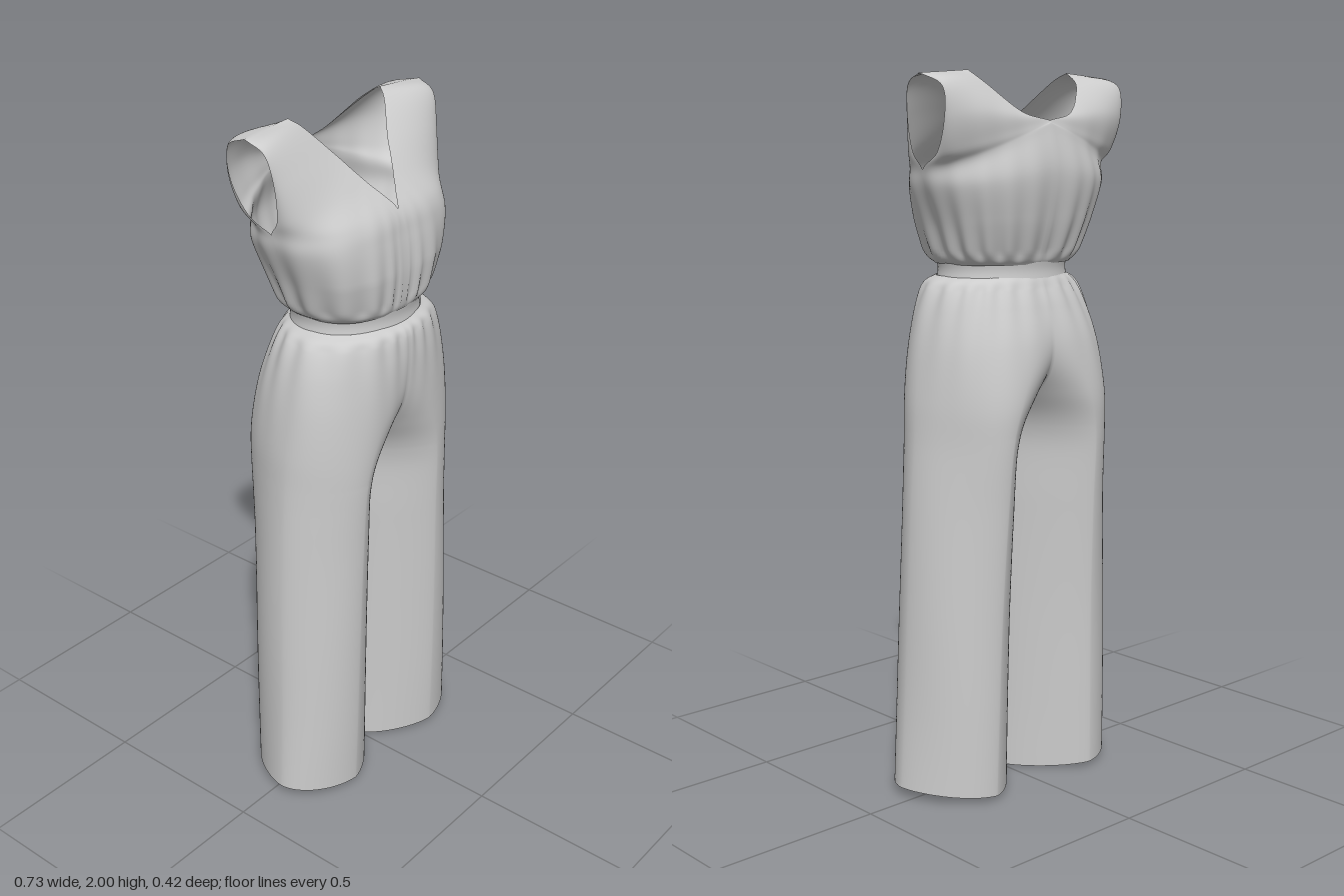
import * as THREE from 'three';
import { mergeGeometries, mergeVertices } from 'three/addons/utils/BufferGeometryUtils.js';

const cloth = new THREE.MeshStandardMaterial({ color: 0xcccccc, side: THREE.DoubleSide });
const WAIST_Y = 1.47, WAIST_Z = 0.02;

// Smooth curve through points, sampled evenly per control point
const spline = pts => new THREE.CatmullRomCurve3(pts.map(p => new THREE.Vector3(...p)), false, 'catmullrom', 0.5);
const spow = (v, p) => Math.sign(v) * Math.abs(v) ** p;

// Gathers fanning out from the elastic waist, plus faint long folds
function gather(p) {
  const ang = Math.atan2(p.x, p.z - WAIST_Z);
  const d = Math.max(0, Math.abs(p.y - WAIST_Y) - 0.02);
  const upper = p.y > WAIST_Y;
  const near = Math.min(1, d / 0.03) * Math.exp(-d / (upper ? 0.13 : 0.08));
  const k = 1 + (upper ? 0.04 : 0.028) * near * Math.sin(20 * ang + 2 * Math.sin(3 * ang))
    + 0.008 * Math.min(1, d / 0.1) * Math.sin(6 * ang + 5 * p.y) * Math.sin(ang) ** 2;
  p.x *= k;
  p.z = WAIST_Z + (p.z - WAIST_Z) * k;
  return p;
}

// Grid surface from a point rule; sx mirrors it, flip turns the faces over.
// The garment hangs a touch to its right above the hem.
function sheet(rows, cols, rule, sx, flip) {
  const pos = [], idx = [];
  for (let i = 0; i <= rows; i++)
    for (let j = 0; j <= cols; j++) {
      const p = rule(i / rows, j / cols);
      pos.push(p.x * sx - 0.01 * Math.min(1, p.y), p.y, p.z);
    }
  for (let i = 0; i < rows; i++)
    for (let j = 0; j < cols; j++) {
      const a = i * (cols + 1) + j, b = a + 1, d = a + cols + 1, c = d + 1;
      if (flip !== (sx < 0)) idx.push(a, c, b, a, d, c);
      else idx.push(a, b, c, a, c, d);
    }
  const g = new THREE.BufferGeometry();
  g.setAttribute('position', new THREE.Float32BufferAttribute(pos, 3));
  g.setIndex(idx);
  return g;
}

// Weld sheets into one smooth mesh
function weld(name, sheets) {
  const g = mergeVertices(mergeGeometries(sheets), 1e-4);
  g.computeVertexNormals();
  const m = new THREE.Mesh(g, cloth);
  m.name = name;
  return m;
}

// Trousers: each leg is an oval cut off at the centre plane until it closes at the crotch
// Columns: outer x, height, inner x / front z, height, back z
const legX = spline([[0.366, 0, 0.004], [0.357, 0.2, 0.006], [0.345, 0.5, 0.006], [0.328, 0.8, 0.005], [0.313, 1.01, 0.003],
  [0.304, 1.13, -0.05], [0.285, 1.27, -0.16], [0.261, 1.37, -0.22], [0.232, 1.43, -0.23], [0.196, 1.452, -0.196]]);
const legZ = spline([[0.168, 0, -0.17], [0.174, 0.2, -0.172], [0.18, 0.5, -0.176], [0.186, 0.8, -0.187], [0.194, 1.01, -0.2],
  [0.2, 1.13, -0.206], [0.206, 1.27, -0.194], [0.207, 1.37, -0.168], [0.2, 1.43, -0.145], [0.176, 1.452, -0.134]]);

function legPoint(t, u) {
  const X = legX.getPoint(t), Z = legZ.getPoint(t);
  const cx = (X.x + X.z) / 2, a = (X.x - X.z) / 2, zc = 0.03;
  // round at the hips, tapering to a softer diamond towards the inner leg
  const hip = THREE.MathUtils.smoothstep(X.y, 0.95, 1.28);
  const inner = 1.45 - 0.5 * hip, outer = 1.15 - 0.2 * hip;
  const ratio = Math.min(1, Math.max(0, cx / a));
  const end = ratio >= 1 || X.z >= 0 ? Math.PI : Math.acos(-(ratio ** (1 / inner)));
  const th = (u * 2 - 1) * end;
  const pw = Math.cos(th) < 0 ? inner : outer;
  const s = -spow(Math.sin(th), pw);
  const x = Math.max(0, cx + a * spow(Math.cos(th), pw));
  const z = zc + s * (s > 0 ? Z.x - zc : zc - Z.z);
  // hem rises slightly towards the outside
  const y = X.y + 0.028 * (x / 0.36) * Math.max(0, 1 - X.y);
  return gather(new THREE.Vector3(x, Math.max(0, y), z));
}

// Bodice: centre/neckline edge and side seam/armhole edge of each panel
const SEAM = [[0.194, 1.485, 0.02], [0.218, 1.51, 0.02], [0.255, 1.6, 0.015], [0.294, 1.69, 0.005], [0.305, 1.74, 0]];
const FRONT = {
  side: 1, bulge: 0.02,
  inner: spline([[0, 1.485, 0.174], [0, 1.51, 0.18], [0, 1.6, 0.187], [0, 1.69, 0.18], [0, 1.76, 0.162],
    [0.055, 1.835, 0.1], [0.105, 1.905, 0.042], [0.158, 1.975, -0.012], [0.182, 1.999, -0.045]]),
  outer: spline([...SEAM, [0.314, 1.785, 0.028], [0.325, 1.87, 0.033], [0.337, 1.955, 0.016], [0.343, 1.987, -0.04]]),
};
const BACK = {
  side: -1, bulge: 0.01,
  inner: spline([[0, 1.485, -0.133], [0, 1.51, -0.145], [0, 1.61, -0.175], [0, 1.74, -0.195], [0, 1.85, -0.175],
    [0, 1.868, -0.168], [0.09, 1.89, -0.156], [0.168, 1.963, -0.1], [0.182, 1.999, -0.045]]),
  outer: spline([...SEAM, [0.312, 1.785, -0.07], [0.322, 1.87, -0.112], [0.328, 1.952, -0.112], [0.343, 1.987, -0.04]]),
};

const panelRule = panel => (t, u) => {
  const a = panel.inner.getPoint(t), b = panel.outer.getPoint(t);
  const f = u * Math.PI / 2, pw = 0.82 + 0.28 * t;
  const s = u === 1 ? 1 : Math.sin(f) ** pw, c = u === 1 ? 0 : Math.cos(f) ** pw;
  // fullness across the panel, turning upward over the shoulder
  const full = Math.sin(2 * f) * Math.min(1, t * 4) * (1 - t ** 10);
  return gather(new THREE.Vector3(
    Math.max(0, a.x + (b.x - a.x) * s),
    a.y + (b.y - a.y) * s + 0.02 * full * THREE.MathUtils.smoothstep(t, 0.55, 0.85),
    b.z + (a.z - b.z) * c + panel.side * panel.bulge * full));
};

// Elastic band with a slightly hollow profile
function bandPoint(t, u) {
  const th = u * Math.PI * 2, r = 1 - 0.015 * Math.sin(t * Math.PI);
  return new THREE.Vector3(0.198 * r * Math.sin(th), 1.447 + 0.044 * t, 0.021 + 0.158 * r * Math.cos(th));
}

export function createModel() {
  const group = new THREE.Group();
  group.name = 'jumpsuit';
  const both = [1, -1];
  group.add(
    weld('trousers', both.map(sx => sheet(108, 112, legPoint, sx, false))),
    weld('waistband', [sheet(6, 96, bandPoint, 1, false)]),
    weld('bodice', both.flatMap(sx => [FRONT, BACK].map(p => sheet(64, 48, panelRule(p), sx, p === BACK)))),
  );
  return group;
}
